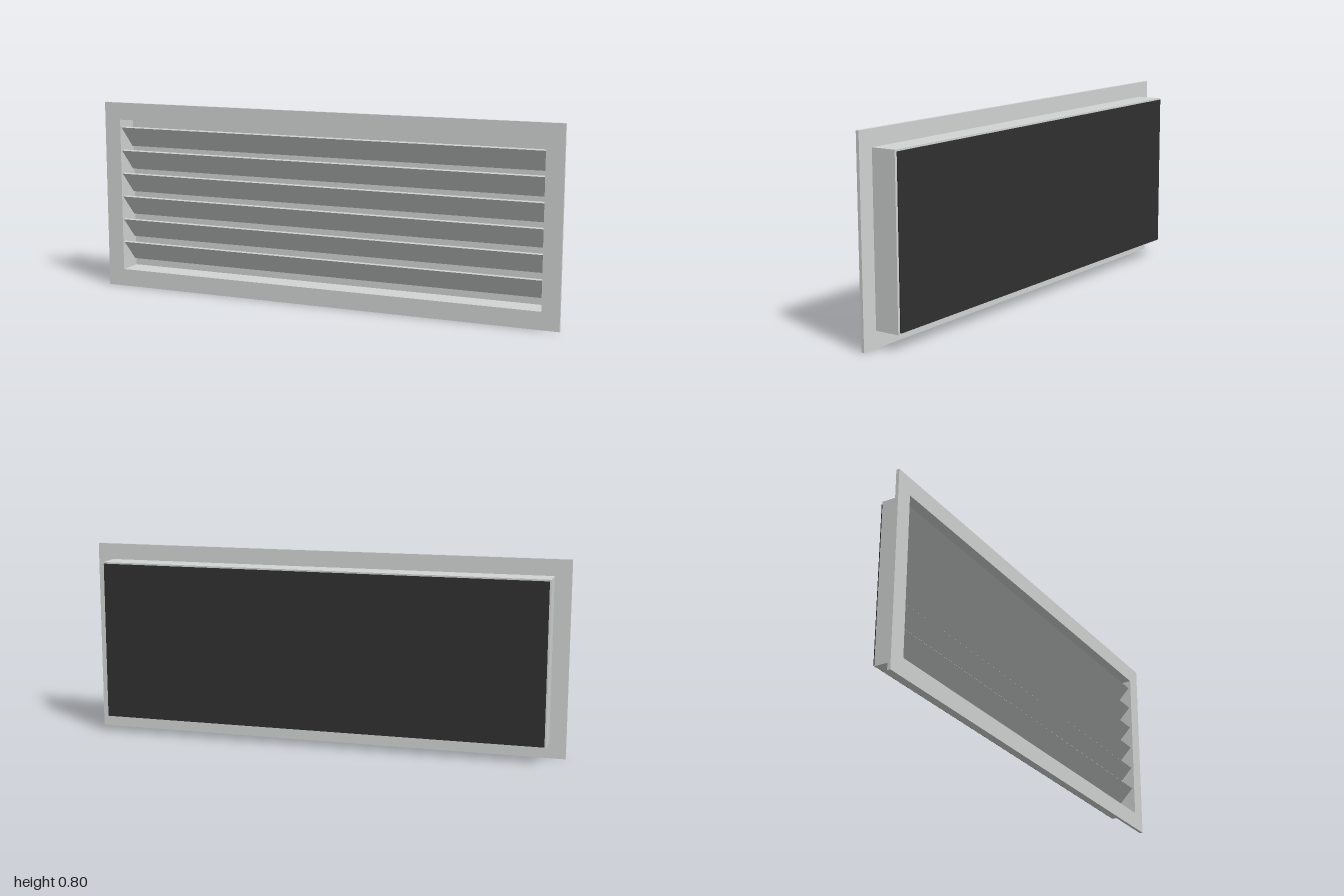
import * as THREE from 'three';

const metal = new THREE.MeshStandardMaterial({ name: 'light grey metal', color: 0xd2d4d4 });
const black = new THREE.MeshStandardMaterial({ name: 'black mesh', color: 0x303030 });

const MID_Y = 0.4;

// Rectangular ring with a rectangular opening, running from zBack to zFront
function ring(name, w, h, holeW, holeH, zBack, zFront) {
  const rect = (Type, a, b) => {
    const p = new Type();
    p.moveTo(-a / 2, -b / 2);
    p.lineTo(a / 2, -b / 2);
    p.lineTo(a / 2, b / 2);
    p.lineTo(-a / 2, b / 2);
    p.closePath();
    return p;
  };
  const shape = rect(THREE.Shape, w, h);
  shape.holes.push(rect(THREE.Path, holeW, holeH));
  const geo = new THREE.ExtrudeGeometry(shape, { depth: zFront - zBack, bevelEnabled: false });
  const mesh = new THREE.Mesh(geo, metal);
  mesh.name = name;
  mesh.position.set(0, MID_Y, zBack);
  return mesh;
}

function box(name, w, h, d, y, z, material) {
  const mesh = new THREE.Mesh(new THREE.BoxGeometry(w, h, d), material);
  mesh.name = name;
  mesh.position.set(0, y, z);
  return mesh;
}

export function createModel() {
  const model = new THREE.Group();
  model.name = 'louvredVent';

  // Front flange and the duct collar behind it
  model.add(ring('frontFlange', 2, 0.8, 1.854, 0.654, 0.05, 0.063));
  model.add(ring('ductCollar', 1.866, 0.667, 1.854, 0.654, -0.054, 0.05));

  // Closed back of the duct and the dark sheet just behind it
  model.add(box('backPlate', 1.854, 0.654, 0.012, MID_Y, -0.048, metal));
  model.add(box('rearScreen', 1.854, 0.655, 0.004, MID_Y, -0.06, black));

  // Six tilted louvre slats, high at the front and low at the back
  const slats = new THREE.Group();
  slats.name = 'slats';
  for (let i = 0; i < 6; i++) {
    const slat = box('slat', 1.854, 0.123, 0.007, MID_Y + (i - 2.5) * 0.1, 0.008, metal);
    slat.rotation.x = 0.76;
    slats.add(slat);
  }
  model.add(slats);

  return model;
}
